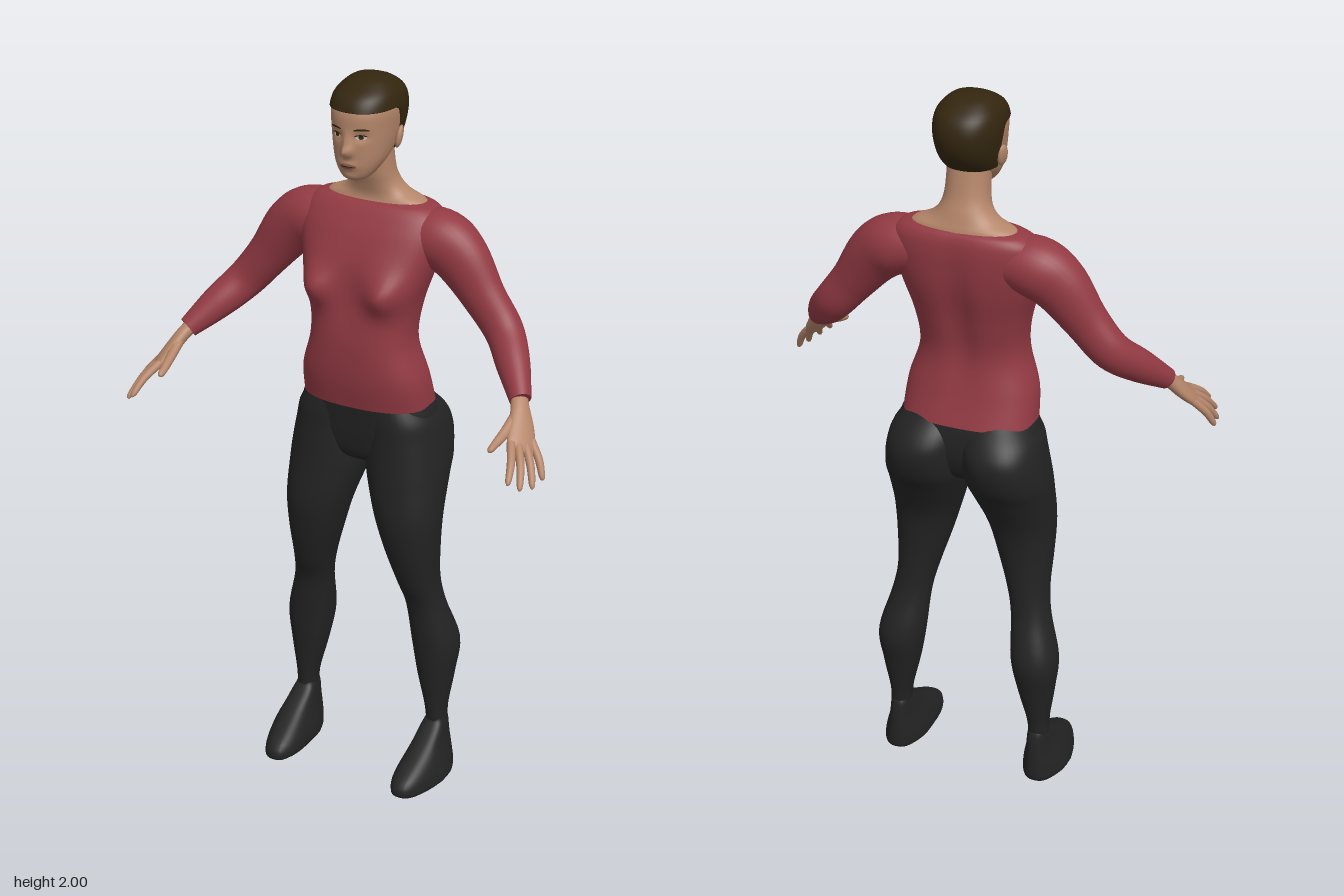
import * as THREE from 'three';

const mat = (name, color, side = THREE.FrontSide) => {
  const m = new THREE.MeshStandardMaterial({ color, side });
  m.name = name;
  return m;
};
const V = (x, y, z) => new THREE.Vector3(x, y, z);
const spow = (v, k) => Math.sign(v) * Math.pow(Math.abs(v), 2 / k);
const bell = (x, y, cx, cy, sx, sy) => Math.exp(-(((x - cx) / sx) ** 2) - ((y - cy) / sy) ** 2);

// Smooth interpolation between cross-section rows, t from 0 to 1
function sample(rows, t) {
  const n = rows.length - 1, f = Math.min(Math.max(t, 0), 1) * n;
  const i = Math.min(Math.floor(f), n - 1), s = f - i;
  const [a, b, c, d] = [i - 1, i, i + 1, i + 2].map(j => rows[Math.min(Math.max(j, 0), n)]);
  return b.map((p, q) => 0.5 * (2 * p + (c[q] - a[q]) * s + (2 * a[q] - 5 * p + 4 * c[q] - d[q]) * s * s
    + (3 * p - a[q] - 3 * c[q] + d[q]) * s * s * s));
}

// Closed tube of rings from point(angle, t), with flat end caps; side -1 mirrors it
function skin(point, nu, nv, side = 1) {
  const pos = [], idx = [];
  const tri = (a, b, c) => (side > 0 ? idx.push(a, b, c) : idx.push(a, c, b));
  const ring = t => {
    const start = pos.length / 3, mid = V(0, 0, 0);
    for (let i = 0; i < nu; i++) {
      const p = point(i / nu * Math.PI * 2, t);
      p.x *= side;
      mid.addScaledVector(p, 1 / nu);
      pos.push(p.x, p.y, p.z);
    }
    return [start, mid];
  };
  for (let j = 0; j <= nv; j++) ring(j / nv);
  for (let j = 0; j < nv; j++) for (let i = 0; i < nu; i++) {
    const a = j * nu + i, b = j * nu + (i + 1) % nu;
    tri(a, a + nu, b);
    tri(b, a + nu, b + nu);
  }
  for (const t of [0, 1]) {
    const [s, m] = ring(t), c = pos.length / 3;
    pos.push(m.x, m.y, m.z);
    for (let i = 0; i < nu; i++) {
      const a = s + i, b = s + (i + 1) % nu;
      t ? tri(a, c, b) : tri(a, b, c);
    }
  }
  const g = new THREE.BufferGeometry();
  g.setAttribute('position', new THREE.Float32BufferAttribute(pos, 3));
  g.setIndex(idx);
  g.computeVertexNormals();
  return g;
}

// Level cross-sections: [y, x0, x1, zBack, zFront]
const level = (rows, k = 2.2, shape = p => p) => (u, t) => {
  const [y, x0, x1, z0, z1] = sample(rows, t), c = Math.cos(u), s = Math.sin(u);
  return shape(V((x0 + x1) / 2 + (x1 - x0) / 2 * spow(c, k), y, (z0 + z1) / 2 + (z1 - z0) / 2 * spow(s, k)), s);
};
const even = rows => rows.map(([y, w, zb, zf]) => [y, -w, w, zb, zf]);

// Cross-sections along a path: [x, y, z, radius, radius along ref]
const limb = (rows, ref) => (u, t) => {
  const r = sample(rows, t), p = sample(rows, t - 0.01), q = sample(rows, t + 0.01);
  const d = V(q[0] - p[0], q[1] - p[1], q[2] - p[2]).normalize();
  const b = ref.clone().addScaledVector(d, -ref.dot(d)).normalize();
  const a = d.clone().cross(b);
  return V(r[0], r[1], r[2]).addScaledVector(a, r[3] * Math.cos(u)).addScaledVector(b, r[4] * Math.sin(u));
};

// Head sections, and the relief of the face
const headRows = even([
  [1.743, 0.018, -0.02, 0.018], [1.752, 0.036, -0.045, 0.03], [1.772, 0.052, -0.075, 0.038], [1.80, 0.066, -0.115, 0.042],
  [1.84, 0.076, -0.16, 0.045], [1.88, 0.082, -0.182, 0.046], [1.92, 0.085, -0.186, 0.044], [1.955, 0.078, -0.172, 0.025],
  [1.98, 0.056, -0.138, -0.015], [1.991, 0.034, -0.108, -0.045], [1.995, 0.002, -0.077, -0.073]]);
const relief = (x, y) => 0.024 * bell(x, y, 0, 1.826, 0.013, 0.014) + 0.013 * bell(x, y, 0, 1.85, 0.01, 0.022)
  + 0.008 * bell(x, y, 0, 1.788, 0.022, 0.012) + 0.005 * bell(x, y, 0, 1.756, 0.02, 0.012)
  - 0.007 * (bell(x, y, 0.034, 1.864, 0.018, 0.011) + bell(x, y, -0.034, 1.864, 0.018, 0.011));
const headPoint = level(headRows, 2.3, (p, s) => {
  if (s > 0) p.z += relief(p.x, p.y);
  return p;
});
const rowAt = y => {
  let lo = 0, hi = 1;
  for (let i = 0; i < 30; i++) {
    const m = (lo + hi) / 2;
    if (sample(headRows, m)[0] < y) lo = m; else hi = m;
  }
  return lo;
};
const faceZ = (x, y) => {
  const [, , w, z0, z1] = sample(headRows, rowAt(y));
  return (z0 + z1) / 2 + (z1 - z0) / 2 * Math.pow(1 - Math.abs(x / w) ** 2.3, 1 / 2.3) + relief(x, y);
};

// Thin oval laid on the face
function facePatch(cx, cy, rx, ry, lift, bend = 0) {
  const g = new THREE.RingGeometry(0.001, 1, 20, 4), p = g.attributes.position;
  for (let i = 0; i < p.count; i++) {
    const x = cx + p.getX(i) * rx, y = cy + p.getY(i) * ry - bend * p.getX(i) ** 2;
    p.setXYZ(i, x, y, faceZ(x, y) + lift);
  }
  g.computeVertexNormals();
  return g;
}

export function createModel() {
  const model = new THREE.Group();
  const flesh = mat('skin', 0xb5866a), red = mat('red shirt', 0x933a43), black = mat('black trousers', 0x232323);
  const brown = mat('dark brown hair', 0x33260f), lip = mat('lips', 0x8d5a4c), white = mat('eye white', 0xc9bfb4);
  const add = (name, g, m) => {
    const mesh = new THREE.Mesh(g, m);
    mesh.name = name;
    model.add(mesh);
    return mesh;
  };

  // Shirt body with bust and spine groove
  const torso = even([
    [1.115, 0.182, -0.19, 0.033], [1.2, 0.174, -0.165, 0.05], [1.3, 0.145, -0.15, 0.054], [1.4, 0.153, -0.168, 0.045],
    [1.5, 0.182, -0.192, 0.036], [1.58, 0.2, -0.2, 0.004], [1.63, 0.195, -0.198, -0.025],
    [1.655, 0.17, -0.19, -0.045], [1.664, 0.14, -0.18, -0.06]]);
  add('shirtBody', skin(level(torso, 2.5, (p, s) => {
    const x = Math.abs(p.x);
    if (s > 0) p.z += 0.042 * bell(x, p.y, 0.105, 1.445, 0.05, 0.05) - 0.008 * bell(x, p.y, 0, 1.45, 0.04, 0.08);
    else p.z += 0.016 * bell(x, p.y, 0, 1.42, 0.035, 0.17);
    return p;
  }), 64, 48), red);

  // Neck and collar skin
  add('neck', skin(level(even([
    [1.65, 0.15, -0.182, -0.055], [1.668, 0.135, -0.178, -0.062], [1.685, 0.095, -0.172, -0.062], [1.71, 0.069, -0.164, -0.055],
    [1.75, 0.058, -0.15, -0.042], [1.83, 0.056, -0.135, -0.03]])), 40, 20), flesh);

  // Head, hair cap and face
  add('head', skin(headPoint, 72, 64), flesh);
  const centre = V(0, 1.88, -0.07);
  add('hair', skin((u, t) => {
    const bottom = THREE.MathUtils.lerp(1.815, 1.926, THREE.MathUtils.smoothstep(Math.sin(u), -0.3, 0.05));
    const start = rowAt(bottom);
    return headPoint(u, start + (1 - start) * t).sub(centre).multiplyScalar(1.045).add(centre);
  }, 64, 24), brown);
  add('lips', facePatch(0, 1.788, 0.023, 0.0075, 0.0015, 0.002), lip);
  add('mouthLine', facePatch(0, 1.788, 0.021, 0.0014, 0.003, 0.002), brown);

  // Trousers seat
  add('pelvis', skin(level(even([
    [0.925, 0.03, -0.12, -0.05], [0.96, 0.12, -0.17, 0.005], [1.02, 0.19, -0.195, 0.02],
    [1.08, 0.195, -0.195, 0.026], [1.128, 0.178, -0.184, 0.03]]), 2.4), 48, 20), black);

  for (const side of [1, -1]) {
    const s = side > 0 ? 'left' : 'right';

    // Eye, brow, ear
    add(s + 'EyeWhite', facePatch(side * 0.034, 1.864, 0.013, 0.0055, 0.0015), white);
    add(s + 'Iris', facePatch(side * 0.034, 1.864, 0.006, 0.0052, 0.003), brown);
    add(s + 'EyeLid', facePatch(side * 0.034, 1.8705, 0.015, 0.002, 0.003, 0.003), brown);
    add(s + 'Brow', facePatch(side * 0.036, 1.886, 0.019, 0.0026, 0.002, 0.003), brown);
    const ear = add(s + 'Ear', new THREE.SphereGeometry(1, 16, 12), flesh);
    ear.scale.set(0.009, 0.03, 0.018);
    ear.position.set(side * 0.084, 1.845, -0.076);
    ear.rotation.set(-0.2, side * 0.3, -side * 0.12);

    // Sleeve
    add(s + 'Sleeve', skin(limb([
      [0.11, 1.585, -0.112, 0.065, 0.07], [0.19, 1.575, -0.112, 0.08, 0.078], [0.25, 1.535, -0.107, 0.077, 0.066],
      [0.32, 1.445, -0.1, 0.06, 0.05], [0.385, 1.367, -0.088, 0.053, 0.047], [0.44, 1.308, -0.03, 0.046, 0.042],
      [0.495, 1.247, 0.04, 0.029, 0.027]], V(0, 0, 1)), 32, 40, side), red);

    // Hand: palm, four fingers, thumb
    const across = V(0.5, -0.15, -0.85).normalize();
    add(s + 'Palm', skin(limb([
      [0.48, 1.263, 0.02, 0.019, 0.022], [0.5, 1.236, 0.052, 0.019, 0.025], [0.52, 1.2, 0.085, 0.018, 0.036],
      [0.538, 1.166, 0.122, 0.014, 0.041], [0.546, 1.152, 0.138, 0.006, 0.034]], across), 24, 16, side), flesh);
    const tips = [[0.555, 1.105, 0.235], [0.58, 1.088, 0.217], [0.597, 1.08, 0.178], [0.603, 1.085, 0.13]];
    tips.forEach((tip, i) => {
      const base = V(0.536, 1.172, 0.118).addScaledVector(across, (i - 1.5) * 0.021), end = V(...tip);
      const rows = [[0, 0.011], [0.5, 0.0105], [0.9, 0.008], [1, 0.003]].map(([t, r]) => {
        const p = base.clone().lerp(end, t), arch = 0.02 * t * (1 - t);
        return [p.x + arch, p.y + arch, p.z, r, r];
      });
      add(s + 'Finger' + (i + 1), skin(limb(rows, across), 12, 12, side), flesh);
    });
    add(s + 'Thumb', skin(limb([
      [0.502, 1.222, 0.07, 0.014, 0.017], [0.497, 1.195, 0.125, 0.013, 0.015], [0.49, 1.178, 0.17, 0.011, 0.011],
      [0.487, 1.17, 0.194, 0.009, 0.008], [0.486, 1.168, 0.202, 0.003, 0.003]], across), 12, 16, side), flesh);

    // Trouser leg with buttock
    add(s + 'Leg', skin(level([
      [0.15, 0.18, 0.236, -0.13, -0.06], [0.2, 0.175, 0.237, -0.136, -0.055], [0.3, 0.15, 0.252, -0.157, -0.045],
      [0.4, 0.132, 0.261, -0.173, -0.036], [0.52, 0.122, 0.23, -0.137, -0.026], [0.6, 0.105, 0.218, -0.128, 0.003],
      [0.7, 0.074, 0.222, -0.128, 0.03], [0.8, 0.044, 0.227, -0.142, 0.044], [0.9, 0.012, 0.227, -0.19, 0.037],
      [0.96, 0.0, 0.225, -0.226, 0.032], [1.03, 0.0, 0.214, -0.241, 0.027], [1.08, 0.0, 0.2, -0.22, 0.025],
      [1.125, 0.01, 0.165, -0.175, 0.018]]), 40, 60, side), black);

    // Foot, tapered at toe and heel
    add(s + 'Foot', skin(level([
      [0, 0.158, 0.268, -0.135, 0.118], [0.012, 0.15, 0.275, -0.145, 0.128], [0.045, 0.153, 0.268, -0.146, 0.112],
      [0.1, 0.167, 0.25, -0.142, 0.02], [0.145, 0.175, 0.24, -0.136, -0.05], [0.162, 0.182, 0.234, -0.128, -0.062]],
    2.8, p => {
      if (p.z > 0) p.x -= Math.max(0, p.x - 0.17) * p.z * 2.2;
      if (p.z < -0.06) p.x += (0.205 - p.x) * (-0.06 - p.z) * 3;
      return p;
    }), 40, 20, side), black);
  }
  return model;
}
